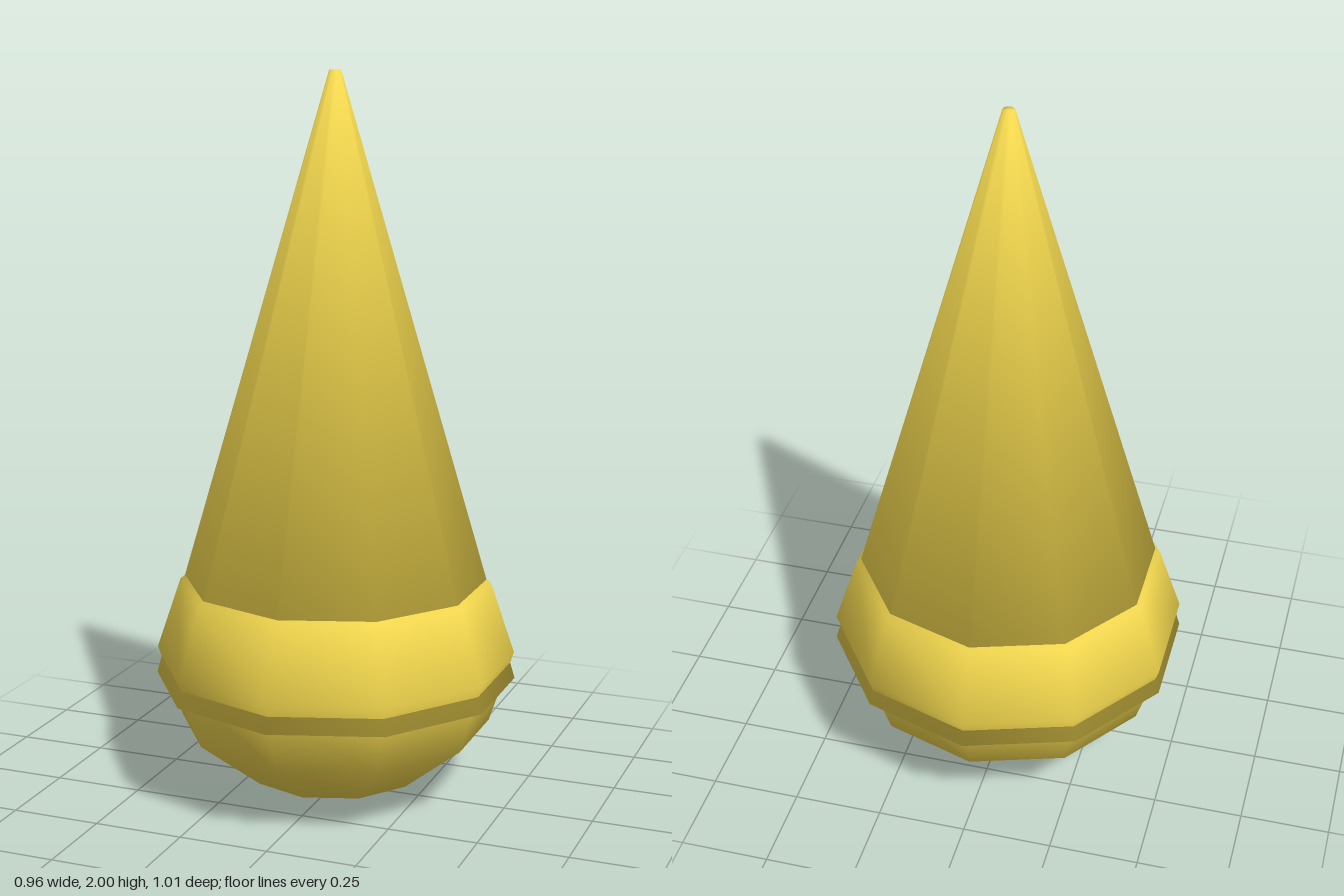
import * as THREE from 'three';

const SIDES = 10;

export function createModel() {
  const group = new THREE.Group();
  const material = new THREE.MeshStandardMaterial({ color: 0xf2d74e });

  // Flattened ten-sided ball, with a corner facing the front
  const ball = new THREE.SphereGeometry(0.5, SIDES, 6);
  ball.rotateY(Math.PI / 2);
  ball.scale(1, 0.8, 1);
  ball.translate(0, 0.4, 0);
  const body = new THREE.Mesh(ball, material);
  body.name = 'roundBody';
  group.add(body);

  // Tall blunt-tipped cone; the ball bulges out through its lower part
  const bottom = 0.325, top = 2, baseRadius = 0.503, tipRadius = 0.016;
  const cone = new THREE.CylinderGeometry(tipRadius, baseRadius, top - bottom, SIDES, 1);
  cone.translate(0, (top + bottom) / 2, 0);

  // Smooth the rims, blending the wall with both end caps
  const pos = cone.attributes.position, normal = cone.attributes.normal;
  for (let i = 0; i < pos.count; i++) {
    const x = pos.getX(i), z = pos.getZ(i), r = Math.hypot(x, z);
    const upper = pos.getY(i) > 1;
    if (r < 1e-4) continue;
    const out = upper ? 0.67 : 0.837;
    normal.setXYZ(i, (x / r) * out, upper ? 0.742 : -0.547, (z / r) * out);
  }
  const spire = new THREE.Mesh(cone, material);
  spire.name = 'pointedCone';
  group.add(spire);

  return group;
}
